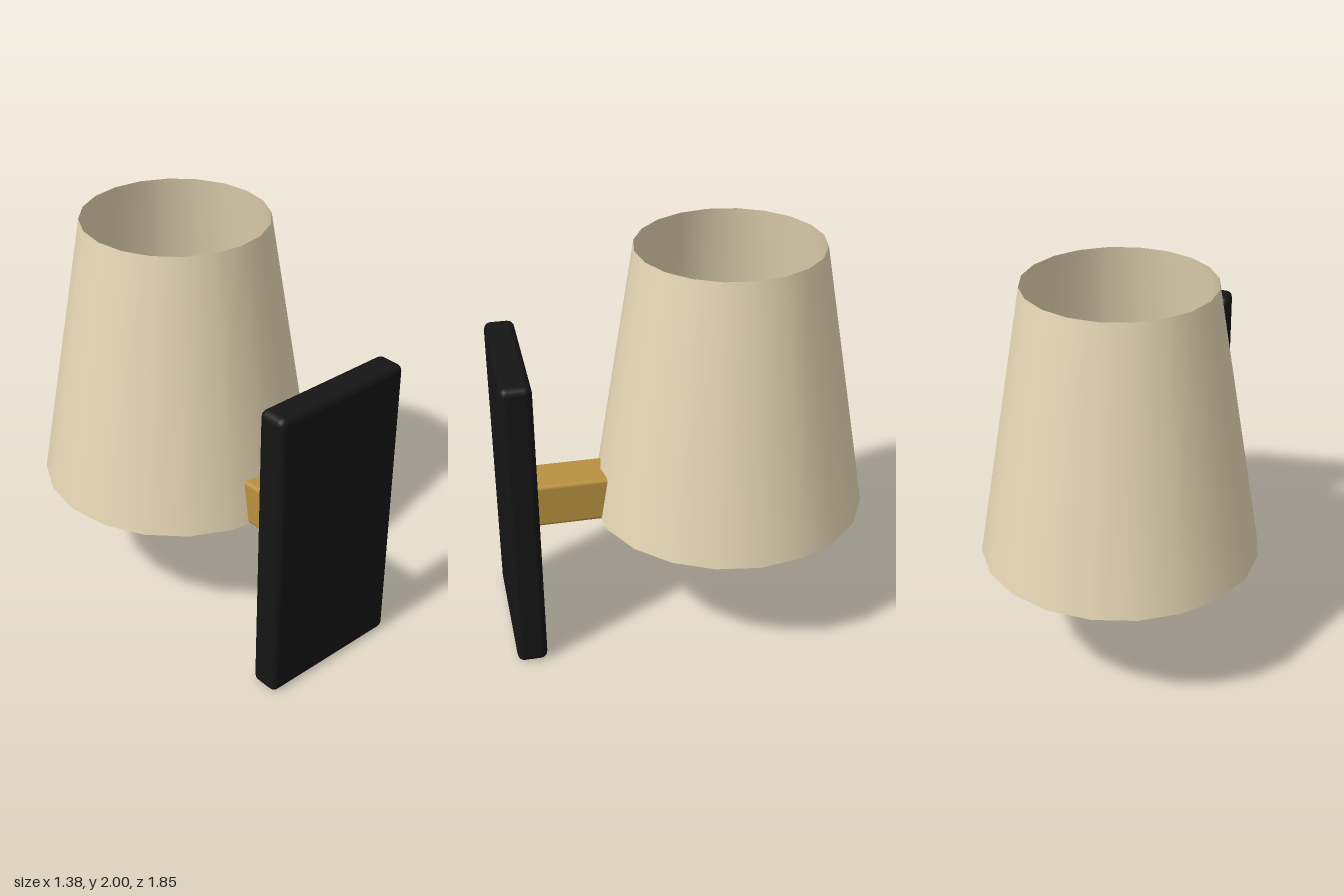
import * as THREE from 'three';
import { RoundedBoxGeometry } from 'three/addons/geometries/RoundedBoxGeometry.js';

const SHADE_Z = -0.23;

export function createModel() {
  const model = new THREE.Group();
  model.name = 'wallLamp';

  const add = (name, geometry, color, [x, y, z], side = THREE.FrontSide) => {
    const mesh = new THREE.Mesh(geometry, new THREE.MeshStandardMaterial({ color, side }));
    mesh.name = name;
    mesh.position.set(x, y, z);
    model.add(mesh);
    return mesh;
  };

  // Wall plate with small bevelled edges
  add('wallPlate', new RoundedBoxGeometry(0.77, 1.54, 0.15, 2, 0.035), 0x151515, [0, 0.77, 0.85]);

  // Brass arm from the plate to below the middle of the shade
  const armBack = -0.24, armFront = 0.775;
  add('arm', new RoundedBoxGeometry(0.23, 0.23, armFront - armBack, 2, 0.02), 0xb8903f,
    [0, 0.735, (armFront + armBack) / 2]);

  // Bulb resting in the end of the arm
  const bulb = add('bulb', new THREE.SphereGeometry(0.263, 14, 10), 0xf3e2b5, [0, 0.92, SHADE_Z]);
  bulb.rotation.y = Math.PI / 2;

  // Thin tapered shade, open at both ends
  add('shade', new THREE.CylinderGeometry(0.46, 0.69, 1.38, 20, 1, true), 0xe6d6b4,
    [0, 1.31, SHADE_Z], THREE.DoubleSide);

  return model;
}
